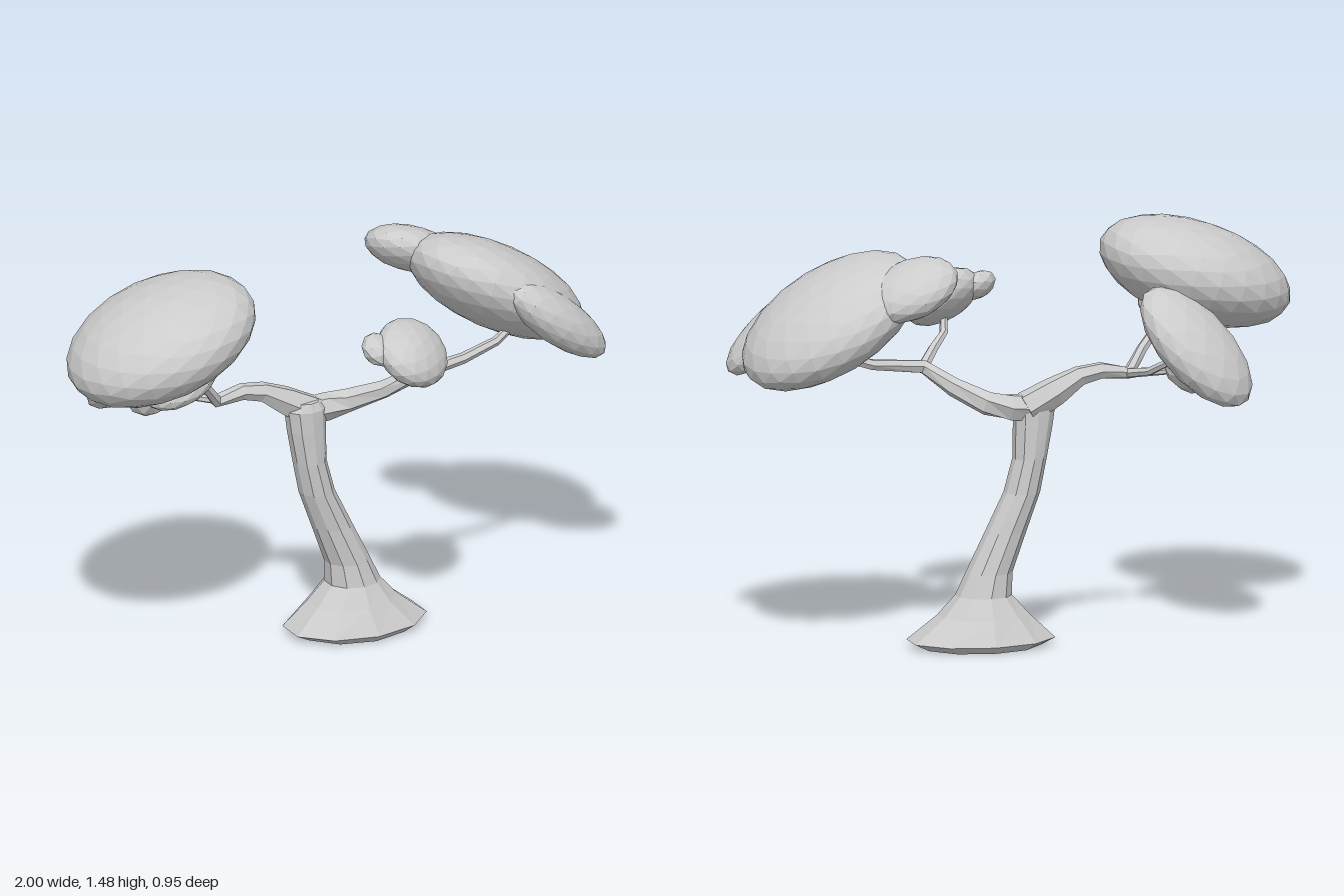
import * as THREE from 'three';

const V = (x, y, z) => new THREE.Vector3(x, y, z);
const UP = V(0, 1, 0);

export function createModel() {
  const model = new THREE.Group();
  model.name = 'tree';
  const material = new THREE.MeshStandardMaterial({ color: 0xcccccc, flatShading: true });

  const add = (name, geometry) => {
    const mesh = new THREE.Mesh(geometry, material);
    mesh.name = name;
    model.add(mesh);
  };

  // Closed skin over rings of { c: centre, rx, rz, dir: ring axis }
  function loft(name, rings, sides) {
    const pos = [], index = [];
    for (const { c, rx, rz, dir } of rings) {
      const q = new THREE.Quaternion().setFromUnitVectors(UP, dir);
      for (let i = 0; i < sides; i++) {
        const a = ((i + 0.5) / sides) * Math.PI * 2;
        const p = V(Math.cos(a) * rx, 0, Math.sin(a) * rz).applyQuaternion(q).add(c);
        pos.push(p.x, p.y, p.z);
      }
    }
    const last = rings.length - 1;
    for (let k = 0; k < last; k++) {
      for (let i = 0; i < sides; i++) {
        const a = k * sides + i, b = k * sides + ((i + 1) % sides);
        index.push(a, a + sides, b, b, a + sides, b + sides);
      }
    }
    for (let i = 1; i < sides - 1; i++) {
      const t = last * sides;
      index.push(0, i, i + 1, t, t + i + 1, t + i);
    }
    const g = new THREE.BufferGeometry();
    g.setAttribute('position', new THREE.Float32BufferAttribute(pos, 3));
    g.setIndex(index);
    g.computeVertexNormals();
    add(name, g);
  }

  // Tapering branch through points [x, y, z, radius]
  function branch(name, points) {
    const centres = points.map(p => V(p[0], p[1], p[2]));
    const rings = points.map((p, k) => {
      const from = centres[Math.max(k - 1, 0)];
      const to = centres[Math.min(k + 1, points.length - 1)];
      return { c: centres[k], rx: p[3], rz: p[3], dir: to.clone().sub(from).normalize() };
    });
    loft(name, rings, 6);
  }

  // Flattened foliage pad: centre, long axis, flat normal, half sizes [long, thick, wide]
  function foliage(name, centre, long, normal, size, detail = 2) {
    const n = V(...normal).normalize();
    const l = V(...long).addScaledVector(n, -V(...long).dot(n)).normalize();
    const w = l.clone().cross(n);
    const basis = new THREE.Matrix4().makeBasis(l, n, w).setPosition(...centre);
    const g = new THREE.IcosahedronGeometry(1.015, detail);
    g.scale(...size);
    g.applyMatrix4(basis);
    g.computeVertexNormals();
    add(name, g);
  }

  // Leaning trunk with flared foot: [x, y, rx, rz]
  const trunk = [
    [0.145, 0, 0.215, 0.165], [0.145, 0.025, 0.268, 0.187], [0.135, 0.11, 0.165, 0.135],
    [0.135, 0.18, 0.1, 0.095], [0.115, 0.26, 0.082, 0.08], [0.055, 0.4, 0.073, 0.068],
    [-0.005, 0.54, 0.064, 0.065], [-0.033, 0.66, 0.06, 0.062], [-0.045, 0.78, 0.071, 0.06],
    [-0.05, 0.86, 0.077, 0.058], [-0.05, 0.89, 0.05, 0.045],
  ];
  loft('trunk', trunk.map(([x, y, rx, rz]) => ({ c: V(x, y, -0.05), rx, rz, dir: UP })), 10);

  // Branches
  branch('leftBranch', [
    [-0.02, 0.84, -0.06, 0.06], [-0.12, 0.895, -0.07, 0.053], [-0.21, 0.945, -0.07, 0.036],
    [-0.29, 0.96, -0.07, 0.03], [-0.39, 0.945, -0.07, 0.024], [-0.45, 1.02, -0.03, 0.019],
    [-0.53, 1.1, 0.02, 0.016], [-0.6, 1.18, 0.04, 0.014],
  ]);
  branch('backLeftTwig', [
    [-0.38, 0.945, -0.07, 0.018], [-0.44, 0.965, -0.16, 0.015], [-0.5, 1.02, -0.25, 0.013],
  ]);
  branch('lowerLeftTwig', [
    [-0.39, 0.945, -0.08, 0.016], [-0.47, 0.955, -0.13, 0.013], [-0.56, 0.97, -0.19, 0.012],
  ]);
  branch('rightBranch', [
    [-0.06, 0.84, -0.06, 0.05], [0.04, 0.845, -0.06, 0.05], [0.12, 0.86, -0.045, 0.043],
    [0.22, 0.91, 0.03, 0.034], [0.31, 0.975, 0.1, 0.026], [0.5, 0.995, 0.09, 0.02],
    [0.63, 1.035, 0.09, 0.017], [0.74, 1.11, 0.08, 0.014],
  ]);
  branch('frontTwig', [
    [0.31, 0.975, 0.1, 0.021], [0.25, 1.02, 0.18, 0.018], [0.19, 1.06, 0.25, 0.015],
    [0.17, 1.14, 0.32, 0.012],
  ]);

  // Left foliage
  foliage('leftCanopy', [-0.665, 1.272, 0.04], [0.94, 0.34, 0], [-0.34, 0.94, 0], [0.35, 0.172, 0.302], 3);
  foliage('backLeftFoliage', [-0.57, 1.07, -0.29], [0.55, 0.72, 0.4], [-0.5, 0.68, -0.54], [0.26, 0.1, 0.175]);
  foliage('lowerLeftFoliage', [-0.575, 0.977, -0.2], [0.7, 0.7, 0], [-0.6, 0.7, 0.3], [0.105, 0.082, 0.082], 1);
  foliage('underLeftFoliage', [-0.6, 1.11, 0.06], [0.87, 0.45, 0], [-0.45, 0.87, 0], [0.145, 0.062, 0.135]);

  // Front foliage
  foliage('frontFoliage', [0.17, 1.17, 0.34], [1, 0, -1], [0.42, 0.78, 0.48], [0.165, 0.08, 0.135]);
  foliage('frontSmallFoliage', [0.04, 1.205, 0.335], [1, 0, -1], [0.42, 0.78, 0.48], [0.075, 0.045, 0.065], 1);

  // Right foliage
  foliage('rightCanopy', [0.69, 1.187, -0.035], [0.85, -0.52, -0.05], [0.52, 0.84, -0.15], [0.348, 0.147, 0.287], 3);
  foliage('frontRightFoliage', [0.805, 1.13, 0.207], [0.77, -0.64, 0], [0.62, 0.74, 0.22], [0.24, 0.082, 0.112]);
  foliage('backRightFoliage', [0.445, 1.315, -0.2], [0.92, -0.38, 0], [0.38, 0.87, -0.3], [0.172, 0.08, 0.143]);

  return model;
}
